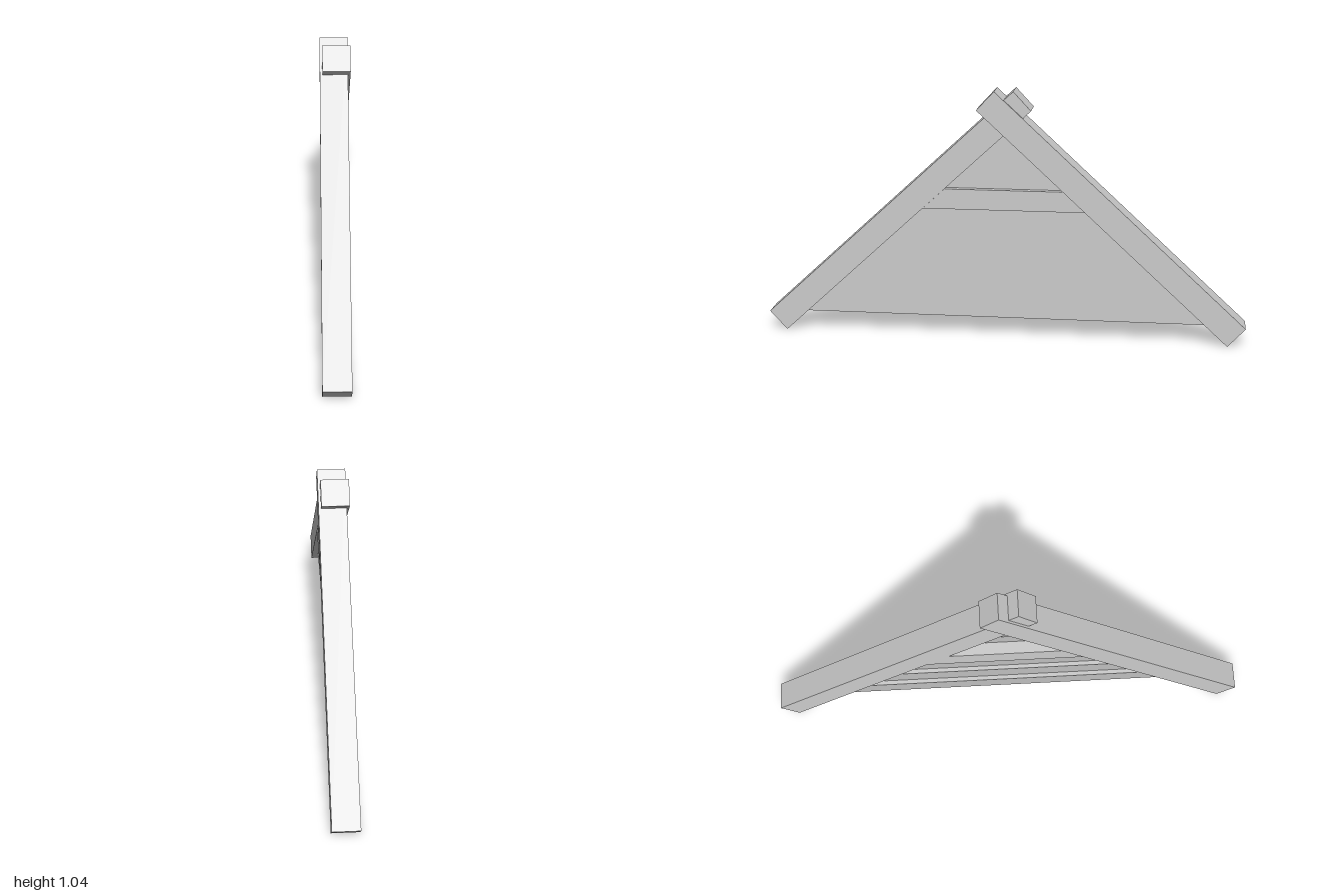
import * as THREE from 'three';

const material = new THREE.MeshStandardMaterial({ color: 0xcccccc, flatShading: true });

// Half width of the gable opening between the rafters at height y
const halfSpan = (y) => Math.max(0.002, 0.93 - 1.0777 * y);

// Horizontal board whose ends follow the rafters; inner (-x) face may lean
function gableBoard(name, y0, y1, outerX, innerBottomX, innerTopX) {
  const geometry = new THREE.BoxGeometry(1, 1, 1);
  const p = geometry.attributes.position;
  for (let i = 0; i < p.count; i++) {
    const top = p.getY(i) > 0;
    const y = top ? y1 : y0;
    const x = p.getX(i) > 0 ? outerX : top ? innerTopX : innerBottomX;
    p.setXYZ(i, x, y, Math.sign(p.getZ(i)) * halfSpan(y));
  }
  geometry.computeVertexNormals();
  const mesh = new THREE.Mesh(geometry, material);
  mesh.name = name;
  return mesh;
}

export function createModel() {
  const group = new THREE.Group();
  group.name = 'gable';

  // Two rafters crossing at the ridge, slightly offset sideways
  for (const side of [1, -1]) {
    const rafter = new THREE.Mesh(new THREE.BoxGeometry(0.112, 0.107, 1.419), material);
    rafter.name = side > 0 ? 'frontRafter' : 'backRafter';
    rafter.position.set(-0.005 * side, 0.5235, 0.445 * side);
    rafter.rotation.x = side * Math.atan2(0.965, 1.04);
    group.add(rafter);
  }

  // Collar beam tying the rafters together
  group.add(gableBoard('collarBeam', 0.55, 0.635, 0.05, -0.05, -0.05));

  // Siding planks: flush outside, thicker toward the top on the inside
  const siding = new THREE.Group();
  siding.name = 'siding';
  const count = 6, bottom = 0.08, step = 0.13;
  for (let i = 0; i < count; i++) {
    const y = bottom + i * step;
    siding.add(gableBoard('sidingPlank' + (i + 1), y, y + step, 0.023, 0.006, -0.012));
  }
  group.add(siding);

  return group;
}
